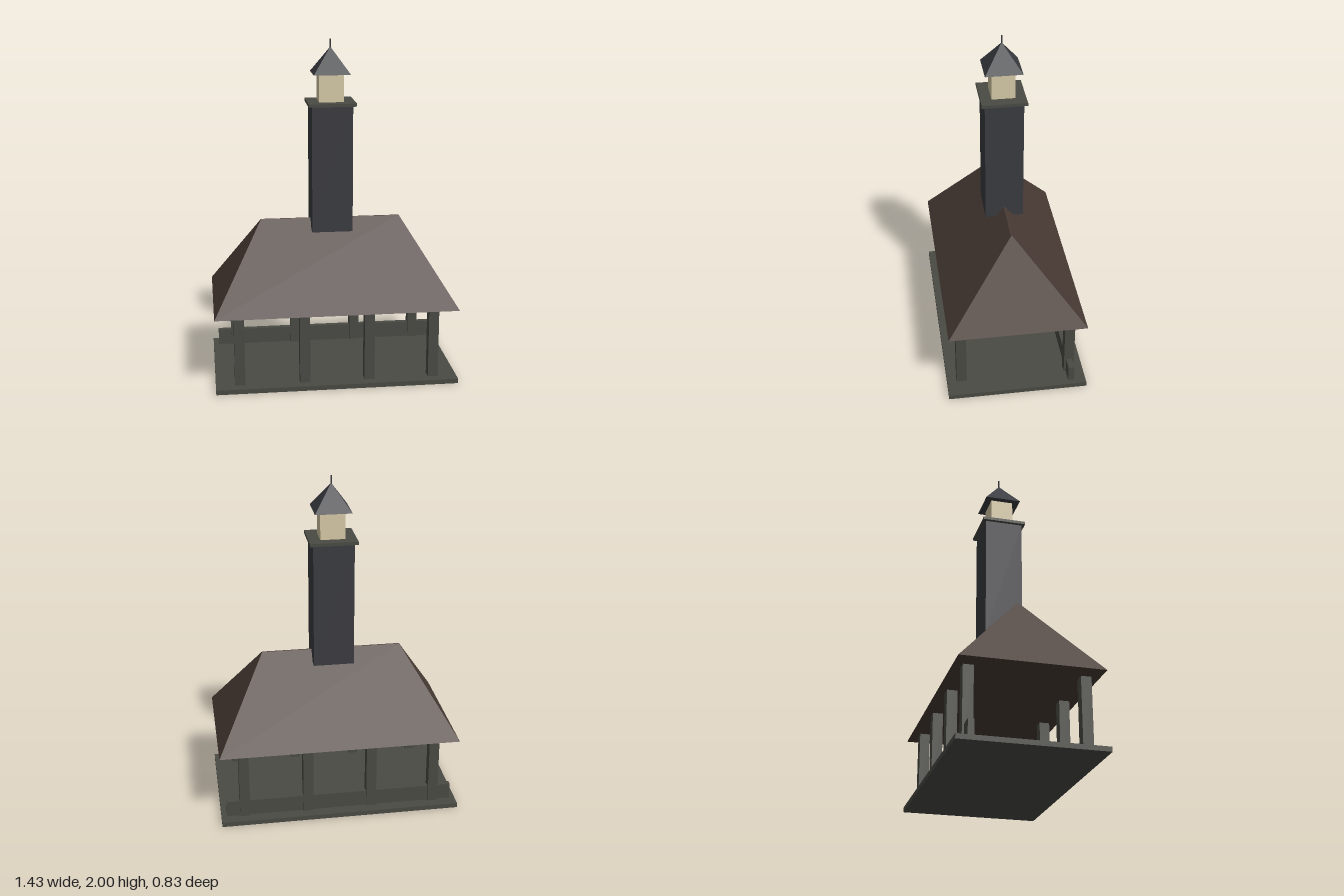
import * as THREE from 'three';

const mat = (color) => new THREE.MeshStandardMaterial({ color, flatShading: true });

export function createModel() {
  const model = new THREE.Group();
  const timber = mat(0x4a4a44);
  const roofTile = mat(0x4a3c36);
  const slate = mat(0x3a3b40);
  const glow = mat(0xd6c9a6);

  const add = (name, geometry, material) => {
    const mesh = new THREE.Mesh(geometry, material);
    mesh.name = name;
    model.add(mesh);
    return mesh;
  };

  // Box given by its width, depth, bottom, top and centre
  const block = (name, w, d, y0, y1, material, x = 0, z = 0) =>
    add(name, new THREE.BoxGeometry(w, y1 - y0, d).translate(x, (y0 + y1) / 2, z), material);

  // Box whose top corners are drawn in to a ridge or a point
  const hipped = (name, w, d, topW, topD, y0, y1, material) => {
    const geometry = new THREE.BoxGeometry(w, y1 - y0, d);
    const p = geometry.attributes.position;
    for (let i = 0; i < p.count; i++) {
      if (p.getY(i) > 0) {
        p.setX(i, Math.sign(p.getX(i)) * topW / 2);
        p.setZ(i, Math.sign(p.getZ(i)) * topD / 2);
      }
    }
    geometry.translate(0, (y0 + y1) / 2, 0);
    geometry.computeVertexNormals();
    return add(name, geometry, material);
  };

  // Open pavilion: floor, two rows of posts and a low rail along the back
  block('floor', 1.43, 0.826, 0, 0.028, timber);
  for (const z of [-0.325, 0.325]) {
    for (let i = 0; i < 4; i++) {
      block('post', 0.06, 0.06, 0.028, 0.452, timber, -0.573 + i * 0.382, z);
    }
  }
  block('backRail', 1.364, 0.035, 0.028, 0.125, timber, 0, -0.325);

  // Hipped roof
  hipped('mainRoof', 1.43, 0.81, 0.834, 0.008, 0.452, 0.936, roofTile);

  // Tower with its ledge, lantern, cap and spike
  block('tower', 0.24, 0.224, 0.874, 1.623, slate);
  block('towerLedge', 0.28, 0.262, 1.623, 1.641, timber);
  block('lantern', 0.145, 0.135, 1.641, 1.803, glow);
  hipped('lanternRoof', 0.216, 0.216, 0.001, 0.001, 1.803, 1.955, slate);
  add('spike', new THREE.CylinderGeometry(0.004, 0.004, 0.055, 8).translate(0, 1.9725, 0), slate);

  return model;
}
